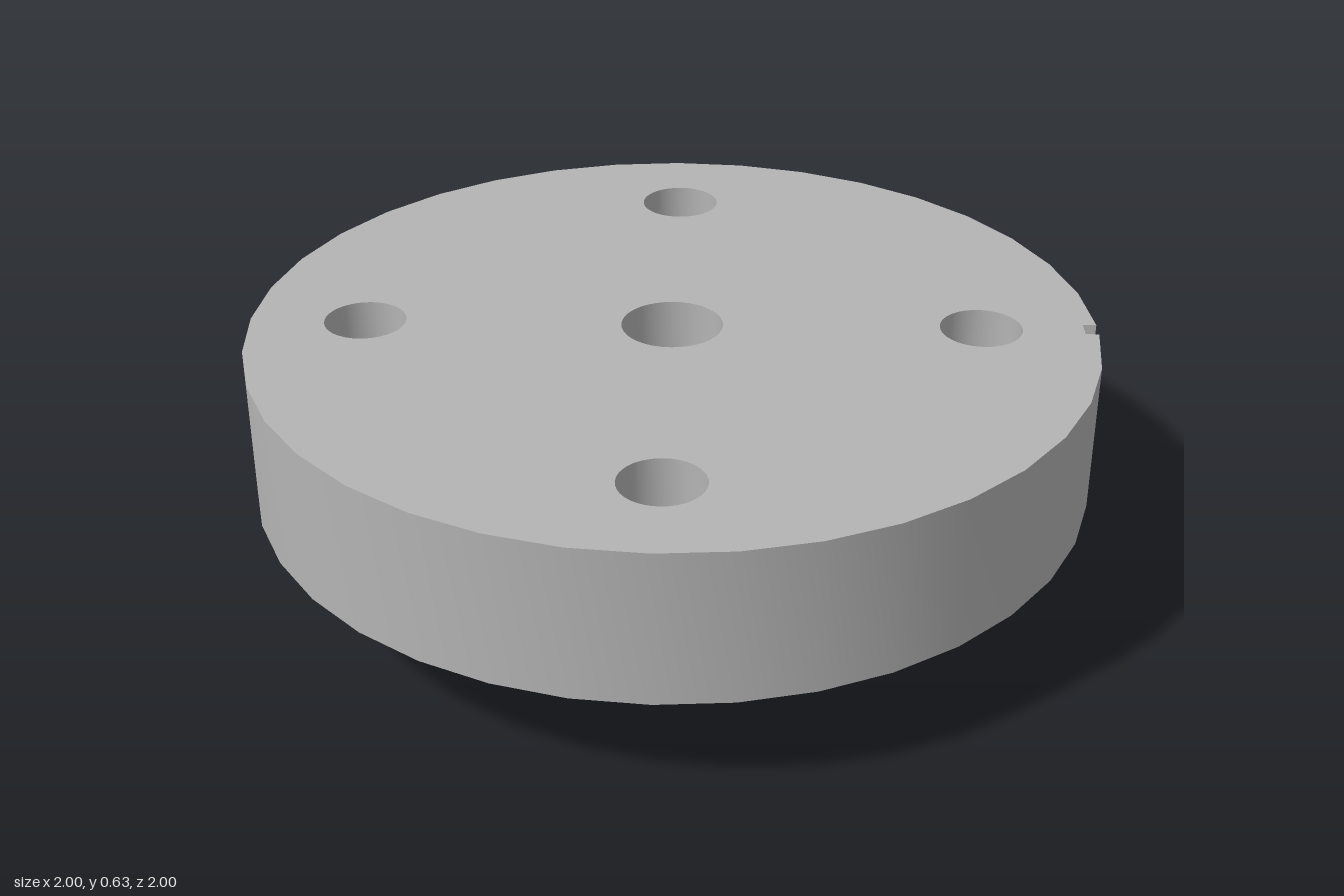
import * as THREE from 'three';
import { toCreasedNormals } from 'three/addons/utils/BufferGeometryUtils.js';

const HUB_HEIGHT = 0.265, TOP = 0.63;
const HUB_RADIUS = 0.408, BORE_RADIUS = 0.12;
const BOLT_RADIUS = 0.097, BOLT_CIRCLE = 0.727;
const KEY_HALF = 0.024, KEY_FLOOR = 0.968;

function addHole(shape, x, y, r) {
  const hole = new THREE.Path();
  hole.absarc(x, y, r, 0, Math.PI * 2, true);
  shape.holes.push(hole);
}

// Extrudes a plan outline upwards from y0 to y1
function plate(name, shape, y0, y1, material) {
  let geo = new THREE.ExtrudeGeometry(shape, { depth: y1 - y0, bevelEnabled: false, curveSegments: 18 });
  geo.rotateX(-Math.PI / 2);
  geo.translate(0, y0, 0);
  geo = toCreasedNormals(geo, Math.PI / 6);
  const mesh = new THREE.Mesh(geo, material);
  mesh.name = name;
  return mesh;
}

export function createModel() {
  const group = new THREE.Group();
  group.name = 'flangedHub';
  const steel = new THREE.MeshStandardMaterial({ color: 0xb4b4b4 });
  steel.name = 'steel grey';

  // Flange disc with a small key slot on the +x rim
  const a = Math.asin(KEY_HALF);
  const disc = new THREE.Shape();
  disc.absarc(0, 0, 1, a, Math.PI * 2 - a, false);
  disc.lineTo(KEY_FLOOR, -KEY_HALF);
  disc.lineTo(KEY_FLOOR, KEY_HALF);
  disc.closePath();
  addHole(disc, 0, 0, BORE_RADIUS);

  // Four bolt holes
  for (let i = 0; i < 4; i++) {
    const t = i * Math.PI / 2;
    addHole(disc, BOLT_CIRCLE * Math.cos(t), BOLT_CIRCLE * Math.sin(t), BOLT_RADIUS);
  }
  group.add(plate('flange', disc, HUB_HEIGHT, TOP, steel));

  // Lower hub with the bore running through
  const hub = new THREE.Shape();
  hub.absarc(0, 0, HUB_RADIUS, 0, Math.PI * 2, false);
  addHole(hub, 0, 0, BORE_RADIUS);
  group.add(plate('hub', hub, 0, HUB_HEIGHT, steel));

  return group;
}
